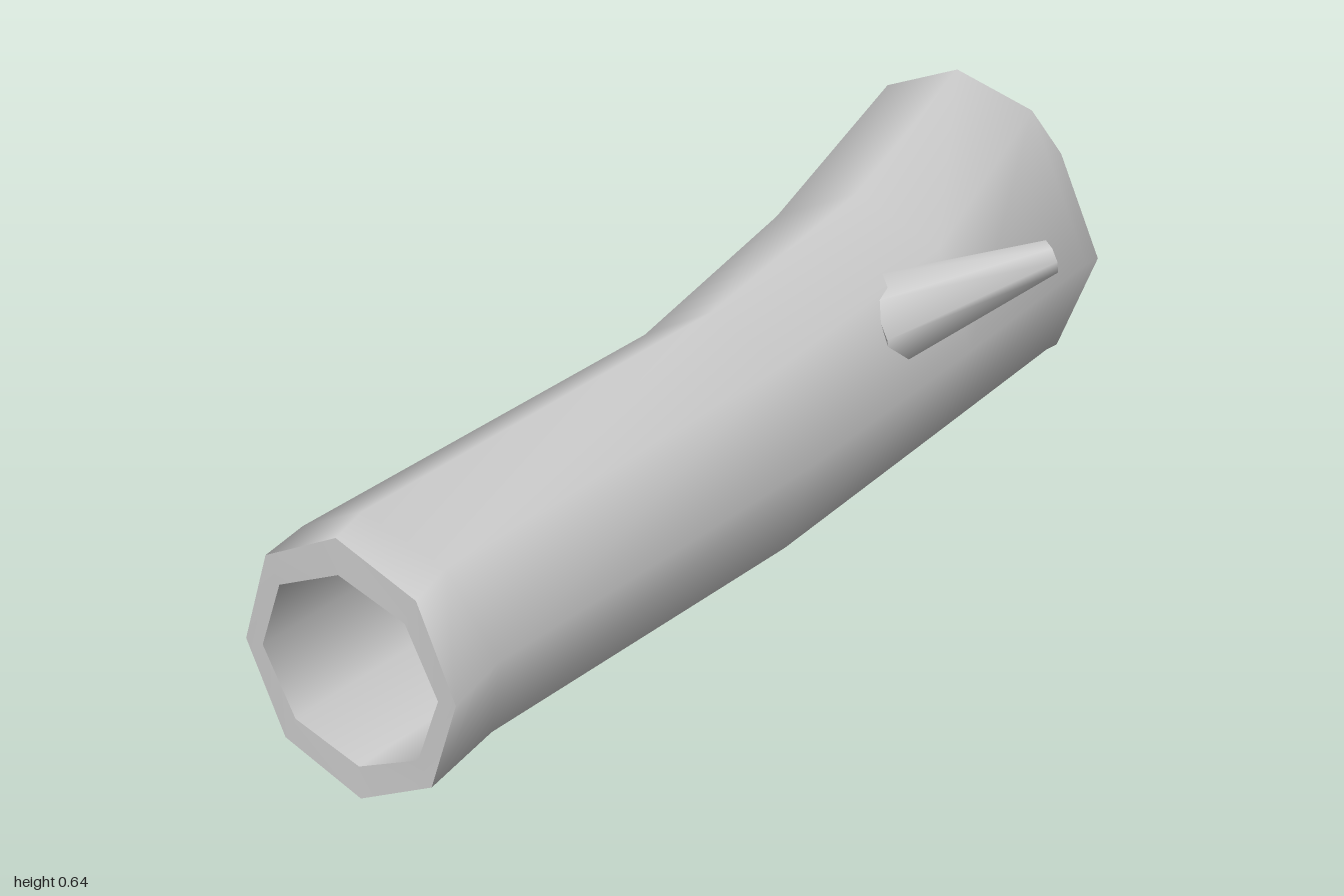
import * as THREE from 'three';

const SIDES = 8;

// One ring of the log: centre, radii, z at the top and z at the bottom
function ring(cx, cy, rx, ry, zTop, zBottom) {
  const points = [];
  for (let j = 0; j < SIDES; j++) {
    const a = (j / SIDES) * Math.PI * 2;
    const t = (1 + Math.cos(a)) / 2;
    points.push(new THREE.Vector3(
      cx + rx * Math.sin(a), cy + ry * Math.cos(a), zBottom + (zTop - zBottom) * t));
  }
  return points;
}

// Skin between successive rings
function loft(name, rings, material) {
  const index = [];
  for (let i = 0; i < rings.length - 1; i++) {
    for (let j = 0; j < SIDES; j++) {
      const k = (j + 1) % SIDES;
      const a = i * SIDES + j, b = i * SIDES + k;
      index.push(a, b, a + SIDES, b, b + SIDES, a + SIDES);
    }
  }
  const geometry = new THREE.BufferGeometry().setFromPoints(rings.flat());
  geometry.setIndex(index);
  geometry.computeVertexNormals();
  const mesh = new THREE.Mesh(geometry, material);
  mesh.name = name;
  return mesh;
}

export function createModel() {
  const group = new THREE.Group();
  group.name = 'hollowLog';
  const material = new THREE.MeshStandardMaterial({ color: 0xcccccc });

  // Outer rings, front to back
  const shoulder = ring(-0.075, 0.29, 0.283, 0.285, -0.92, -0.96);
  shoulder[0].y = 0.643; // raised hump on top of the back end
  for (const [j, side] of [[1, 1], [7, -1]]) {
    shoulder[j].x = -0.073 + side * 0.158;
    shoulder[j].y = 0.585;
  }
  const outer = [
    ring(-0.058, 0.22, 0.195, 0.22, 1.0, 0.98),
    ring(-0.04, 0.25, 0.185, 0.22, 0.96, 0.83),
    ring(0.037, 0.285, 0.188, 0.235, 0.15, 0.13),
    ring(-0.018, 0.288, 0.238, 0.257, -0.43, -0.43),
    shoulder,
    ring(-0.075, 0.289, 0.287, 0.287, -0.97, -1.0),
  ];

  // Inner rings, back to front
  const inner = [
    ring(-0.075, 0.289, 0.24, 0.24, -0.97, -1.0),
    ring(0.037, 0.285, 0.162, 0.168, 0.15, 0.13),
    ring(-0.058, 0.218, 0.163, 0.163, 1.0, 0.98),
  ];

  group.add(loft('bark', outer, material));
  group.add(loft('hollow', inner, material));
  group.add(loft('frontRim', [inner[2], outer[0]], material));
  group.add(loft('backRim', [outer[5], inner[0]], material));

  // Tapered branch stub on the left side
  const base = new THREE.Vector3(0.12, 0.383, -0.235);
  const tip = new THREE.Vector3(0.338, 0.471, -0.495);
  const axis = tip.clone().sub(base);
  const branch = new THREE.Mesh(
    new THREE.CylinderGeometry(0.033, 0.092, axis.length(), SIDES), material);
  branch.name = 'branchStub';
  branch.position.copy(base).add(tip).multiplyScalar(0.5);
  branch.quaternion.setFromUnitVectors(new THREE.Vector3(0, 1, 0), axis.normalize());
  group.add(branch);

  return group;
}
